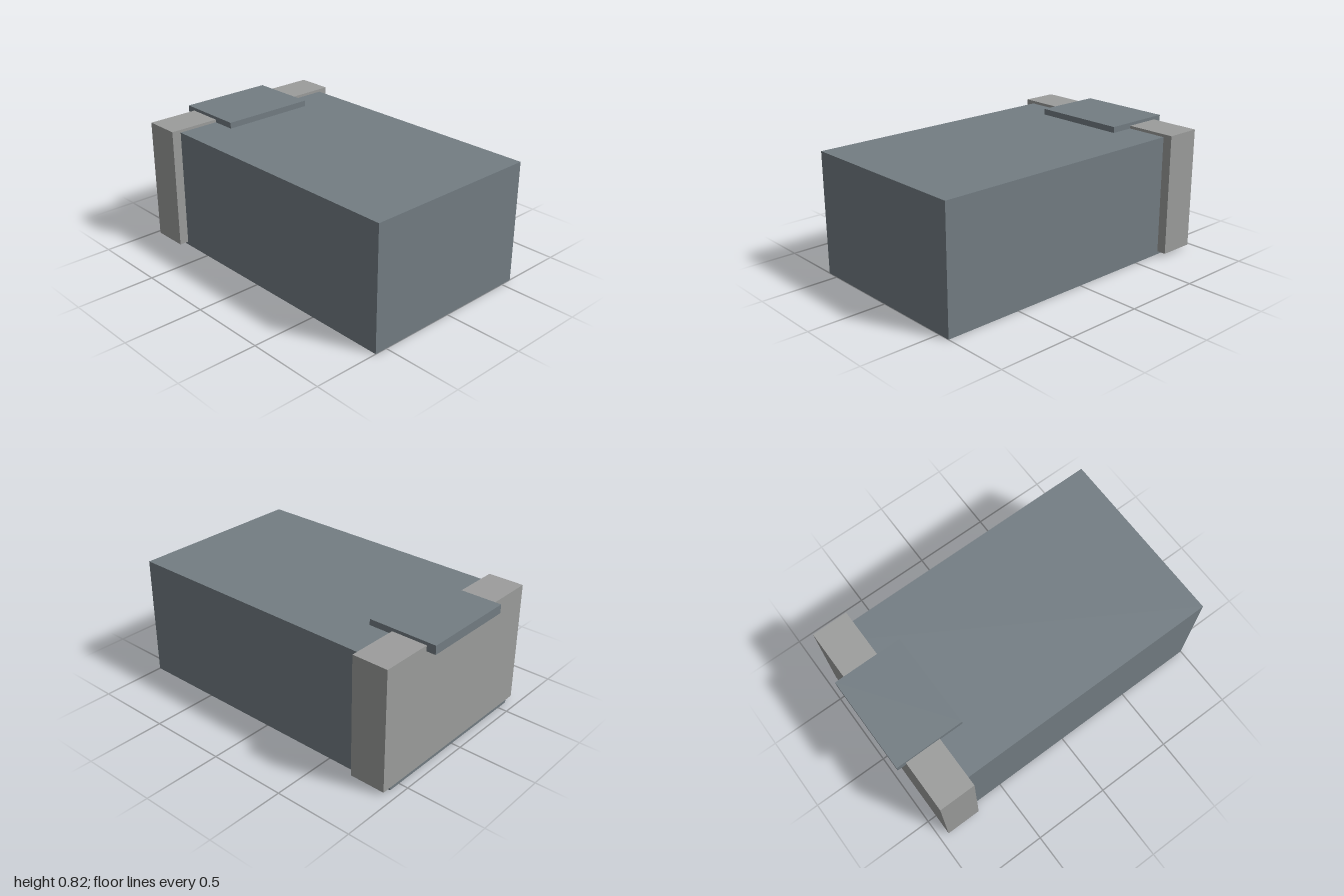
import * as THREE from 'three';

export function createModel() {
  const model = new THREE.Group();
  const slate = new THREE.MeshStandardMaterial({ color: 0x737d83 });
  slate.name = 'slate grey';
  const pale = new THREE.MeshStandardMaterial({ color: 0x9c9d9c });
  pale.name = 'pale grey';

  // Box given by its half width and its extents in y and z
  function addBox(name, material, halfWidth, y0, y1, z0, z1) {
    const mesh = new THREE.Mesh(new THREE.BoxGeometry(2 * halfWidth, y1 - y0, z1 - z0), material);
    mesh.position.set(0, (y0 + y1) / 2, (z0 + z1) / 2);
    mesh.name = name;
    model.add(mesh);
  }

  // Long main block
  addBox('body', slate, 0.58, 0, 0.778, -0.94, 1);
  // Wider slab around the rear end, a hair proud of the body's back
  addBox('rearFrame', pale, 0.64, 0.02, 0.796, -0.941, -0.71);
  // Flat plate overhanging the rear edge
  addBox('topPlate', slate, 0.31, 0.76, 0.816, -1, -0.555);

  return model;
}
